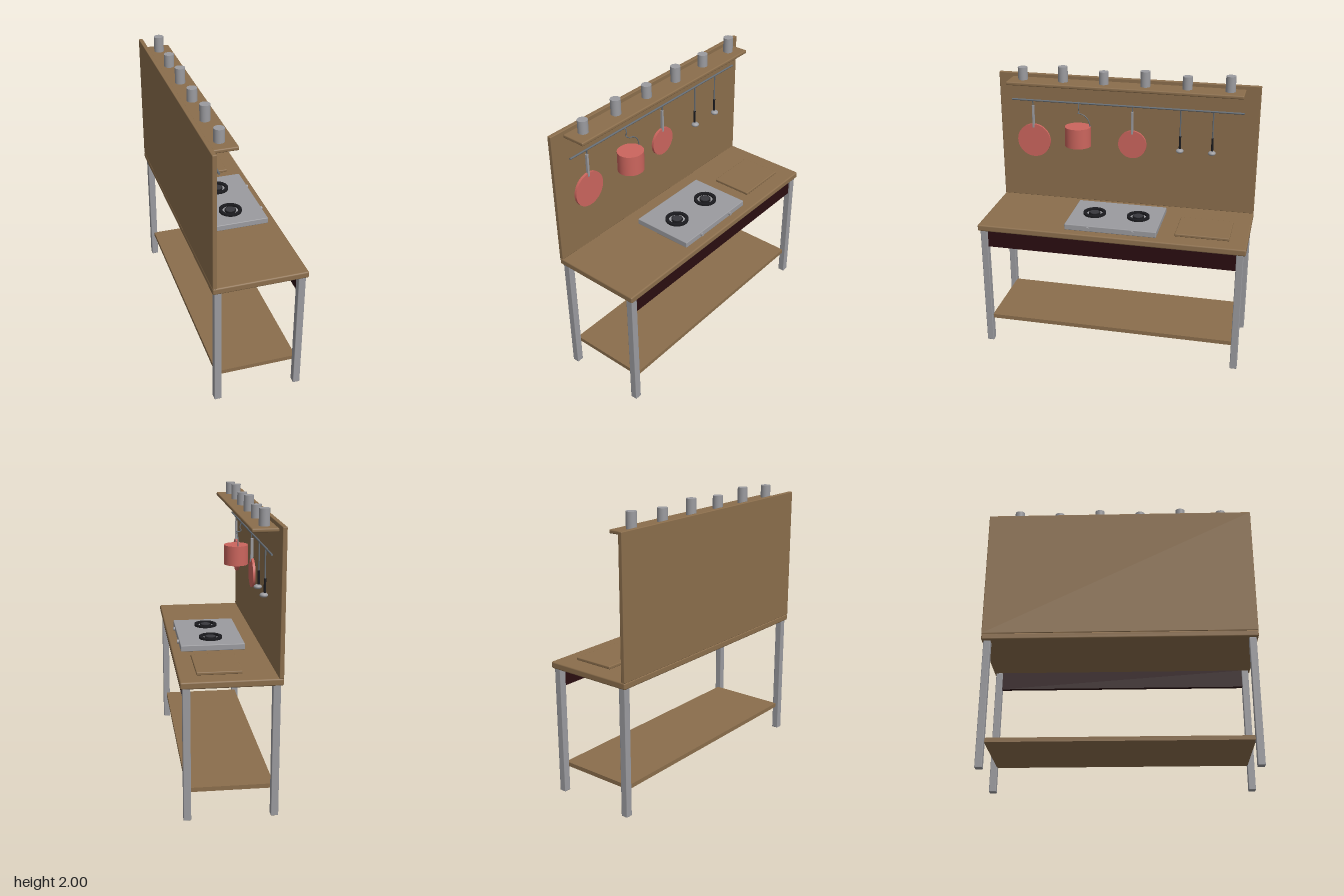
import * as THREE from 'three';
import { RoundedBoxGeometry } from 'three/addons/geometries/RoundedBoxGeometry.js';

export function createModel() {
  const root = new THREE.Group();
  root.name = 'kitchenBench';
  const material = (name, color) => {
    const m = new THREE.MeshStandardMaterial({ color });
    m.name = name;
    return m;
  };
  const wood = material('wood', 0x8b6e4c);
  const steel = material('steel', 0x9b9b9f);
  const railSteel = material('rail steel', 0x666d74);
  const red = material('red enamel', 0xcb655d);
  const maroon = material('maroon panel', 0x2a0d10);
  const black = material('black iron', 0x1b1b1f);
  const charcoal = material('charcoal', 0x38383d);

  const add = (name, geometry, mat, x = 0, y = 0, z = 0, parent = root) => {
    const mesh = new THREE.Mesh(geometry, mat);
    mesh.name = name;
    mesh.position.set(x, y, z);
    parent.add(mesh);
    return mesh;
  };
  // Boxes are given by their limits on each axis; r rounds the edges
  const box = (name, mat, x0, x1, y0, y1, z0, z1, r = 0) => {
    const size = [x1 - x0, y1 - y0, z1 - z0];
    const g = r ? new RoundedBoxGeometry(...size, 2, r) : new THREE.BoxGeometry(...size);
    return add(name, g, mat, (x0 + x1) / 2, (y0 + y1) / 2, (z0 + z1) / 2);
  };
  const cylinder = (r, h, n = 32) => new THREE.CylinderGeometry(r, r, h, n);
  const wire = (name, mat, points, r) => {
    const curve = new THREE.CatmullRomCurve3(points.map(p => new THREE.Vector3(...p)));
    return add(name, new THREE.TubeGeometry(curve, 20, r, 8), mat);
  };

  // Table frame and boards
  box('countertop', wood, -0.33, 0.325, 0.91, 0.957, -0.955, 0.955, 0.01);
  box('backboard', wood, -0.33, -0.3, 0.955, 1.915, -0.955, 0.955, 0.005);
  box('lowerShelf', wood, -0.29, 0.285, 0.18, 0.21, -0.893, 0.893);
  box('apron', maroon, 0.265, 0.295, 0.78, 0.91, -0.893, 0.893);
  for (const x of [-0.29, 0.285])
    for (const z of [-0.915, 0.915])
      box('leg', steel, x - 0.025, x + 0.025, 0, 0.91, z - 0.025, z + 0.025, 0.005);

  // Upper shelf with alternating short and tall canisters
  box('upperShelf', wood, -0.301, -0.13, 1.865, 1.89, -0.85, 0.85, 0.008);
  for (let i = 0; i < 6; i++) {
    const h = i % 2 ? 0.11 : 0.09;
    add('canister', cylinder(0.035, h), steel, -0.225, 1.89 + h / 2, 0.748 - i * 0.299);
  }

  // Cooktop, burners and knobs
  box('cooktop', steel, -0.18, 0.265, 0.957, 1.0, -0.328, 0.328, 0.005);
  for (const z of [-0.16, 0.16]) {
    const ring = new THREE.Shape().absarc(0, 0, 0.082, 0, Math.PI * 2);
    ring.holes.push(new THREE.Path().absarc(0, 0, 0.058, 0, Math.PI * 2, true));
    const ringGeometry = new THREE.ExtrudeGeometry(ring, { depth: 0.015, bevelEnabled: false, curveSegments: 24 });
    add('burnerRing', ringGeometry.rotateX(-Math.PI / 2), black, 0.04, 0.999, z);
    add('burnerBase', cylinder(0.041, 0.012), black, 0.04, 1.005, z);
    add('burnerCap', cylinder(0.034, 0.004), charcoal, 0.04, 1.012, z);
    add('knob', cylinder(0.013, 0.016, 20).rotateZ(Math.PI / 2), steel, 0.27, 0.981, z);
  }
  box('cuttingBoard', wood, -0.087, 0.21, 0.957, 0.978, -0.83, -0.45, 0.006);

  // Hanging rail
  add('rail', cylinder(0.007, 1.7, 12).rotateX(Math.PI / 2), railSteel, -0.256, 1.727, 0);

  // Pans with straight handles
  for (const [z, y, r] of [[0.695, 1.417, 0.125], [-0.05, 1.437, 0.104]]) {
    add('pan', cylinder(r, 0.018, 40).rotateZ(Math.PI / 2), red, -0.269, y, z);
    box('panHandle', steel, -0.276, -0.256, 1.515, 1.685, z - 0.008, z + 0.008, 0.003);
    wire('panHook', railSteel, [[-0.264, 1.68, z], [-0.262, 1.71, z], [-0.256, 1.733, z]], 0.004);
  }

  // Pot hung from a curved hook and bail
  add('pot', cylinder(0.09, 0.146, 40).scale(1, 1, 1.06), red, -0.212, 1.492, 0.343);
  const bail = [];
  for (let i = 0; i <= 6; i++) {
    const a = (i / 6) * Math.PI / 2;
    bail.push([-0.215, 1.567 + 0.096 * Math.cos(a), 0.343 - 0.09 * Math.sin(a)]);
  }
  wire('potBail', railSteel, bail, 0.004);
  wire('potHook', railSteel, [[-0.258, 1.736, 0.343], [-0.248, 1.72, 0.343], [-0.24, 1.69, 0.343],
    [-0.25, 1.67, 0.343], [-0.232, 1.66, 0.343], [-0.215, 1.664, 0.343]], 0.004);

  // Ladles
  for (const z of [-0.402, -0.635]) {
    add('ladleStem', cylinder(0.005, 0.2, 10), railSteel, -0.256, 1.625, z);
    add('ladleGrip', cylinder(0.008, 0.095, 12), black, -0.256, 1.483, z);
    add('ladleBowl', new THREE.SphereGeometry(0.028, 20, 12).scale(1, 0.6, 1), steel, -0.25, 1.42, z);
  }
  return root;
}
